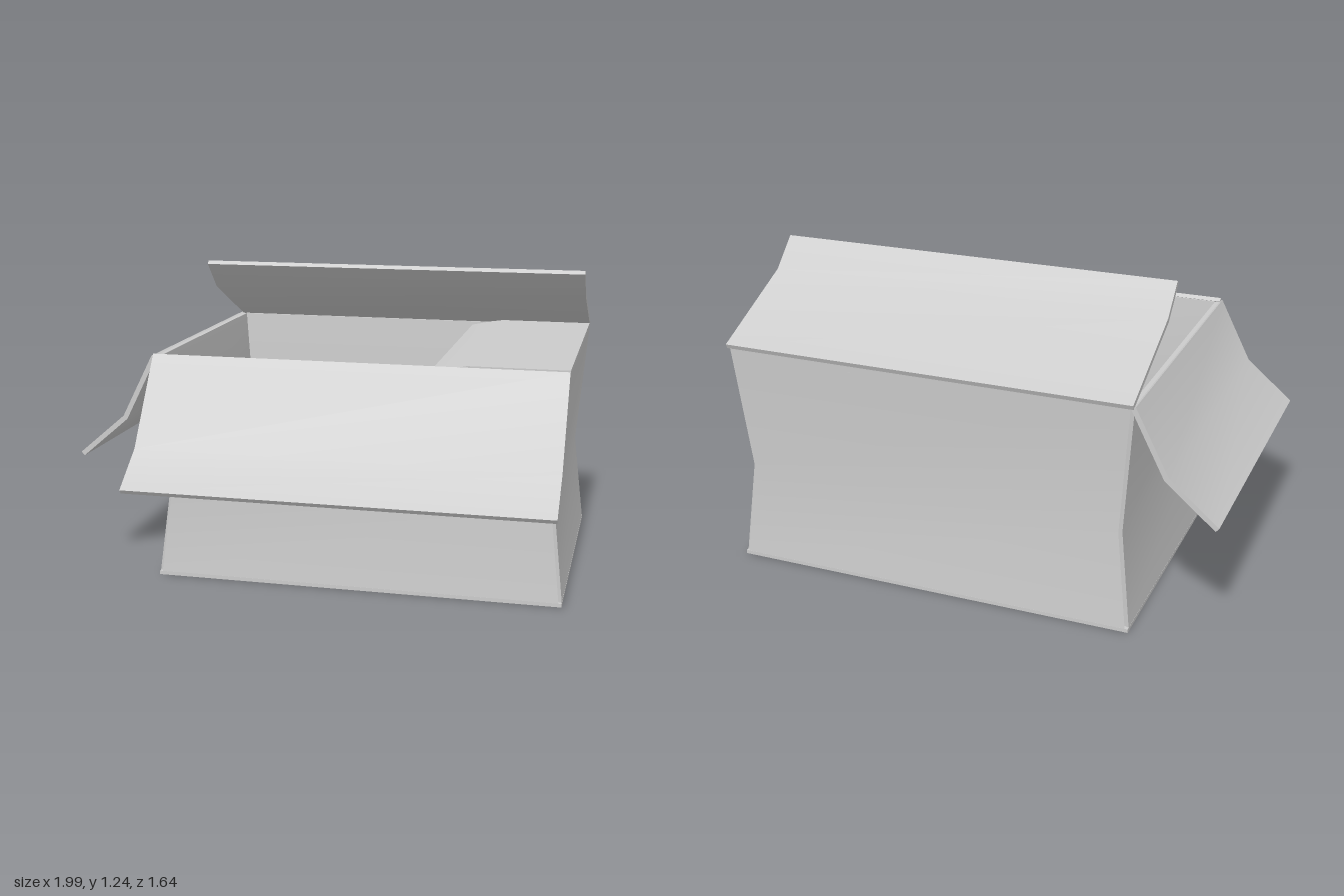
import * as THREE from 'three';
import { toCreasedNormals } from 'three/addons/utils/BufferGeometryUtils.js';

const X0 = -0.672, X1 = 0.994, Z0 = -0.805, Z1 = 0.42, TOP = 0.925, T = 0.02;
const material = new THREE.MeshStandardMaterial({ color: 0xcccccc });

function mesh(name, geometry) {
  const m = new THREE.Mesh(toCreasedNormals(geometry, 0.6), material);
  m.name = name;
  return m;
}

// Solid through a stack of four-cornered sections, closed at both ends
function loft(sections) {
  const pos = [];
  const quad = (a, b, c, d) => [a, b, c, a, c, d].forEach((p) => pos.push(...p));
  for (let i = 0; i < sections.length - 1; i++) {
    for (let j = 0; j < 4; j++) {
      const k = (j + 1) % 4, s = sections[i], e = sections[i + 1];
      quad(s[j], s[k], e[k], e[j]);
    }
  }
  const [a, b, c, d] = sections[0];
  quad(d, c, b, a);
  quad(...sections[sections.length - 1]);
  const g = new THREE.BufferGeometry();
  g.setAttribute('position', new THREE.Float32BufferAttribute(pos, 3));
  g.computeVertexNormals();
  return g;
}

// Bent sheet: a folded line given board thickness, extruded to a width
function bentSheet(line, width) {
  const pts = line.map((p) => new THREE.Vector2(...p));
  const normal = (a, b) => new THREE.Vector2(a.y - b.y, b.x - a.x).normalize();
  const offsets = pts.map((p, i) => {
    const n1 = normal(pts[Math.max(i - 1, 0)], pts[Math.max(i, 1)]);
    const last = pts.length - 1;
    const n2 = normal(pts[Math.min(i, last - 1)], pts[Math.min(i + 1, last)]);
    const n = n1.clone().add(n2).normalize();
    return n.multiplyScalar(T / 2 / n.dot(n1));
  });
  const upper = pts.map((p, i) => p.clone().add(offsets[i]));
  const lower = pts.map((p, i) => p.clone().sub(offsets[i])).reverse();
  return new THREE.ExtrudeGeometry(new THREE.Shape([...upper, ...lower]), {
    depth: width, bevelEnabled: false,
  });
}

export function createModel() {
  const box = new THREE.Group();
  box.name = 'openBox';

  // Floor
  const floor = new THREE.BoxGeometry(X1 - X0, 0.015, Z1 - Z0);
  floor.translate((X0 + X1) / 2, 0.0075, (Z0 + Z1) / 2);
  box.add(mesh('floor', floor));

  // Walls, pinched inward below mid height, with small notches at the corners
  const levels = [[0.01, 0, 0], [0.4, 0.045, 0.033], [TOP, 0, 0]];
  ['frontWall', 'leftWall', 'backWall', 'rightWall'].forEach((name, k) => {
    const sections = levels.map(([y, dx, dz]) => {
      const corner = (i, inset) => {
        const x = [X0 + dx + inset, X1 - dx - inset];
        const z = [Z1 - dz - inset, Z0 + dz + inset];
        const n = i % 4;
        return new THREE.Vector3(x[n === 1 || n === 2 ? 1 : 0], y, z[n < 2 ? 0 : 1]);
      };
      const a = corner(k, 0), b = corner(k + 1, 0);
      const along = b.clone().sub(a).normalize().multiplyScalar(0.012);
      return [a.add(along), b.sub(along), corner(k + 1, T), corner(k, T)].map((p) => p.toArray());
    });
    box.add(mesh(name, loft(sections)));
  });

  // Front and back flaps: folded in the z-y plane
  const longFlaps = {
    frontFlap: [[0.413, 0.932], [0.645, 0.592], [0.812, 0.468]],
    backFlap: [[-0.813, 0.928], [-0.4, 1.115], [-0.284, 1.228]],
  };
  for (const [name, line] of Object.entries(longFlaps)) {
    const g = bentSheet(line, X1 - X0);
    g.rotateY(-Math.PI / 2).translate(X1, 0, 0);
    box.add(mesh(name, g));
  }

  // Side flaps: right one hangs outside, left one lies across the opening
  const rightFlap = bentSheet([[-0.67, 0.925], [-0.8, 0.668], [-0.994, 0.503]], 1.23);
  box.add(mesh('rightFlap', rightFlap.translate(0, 0, -0.807)));
  const leftFlap = bentSheet([[X1, 0.93], [0.6, 0.93], [0.455, 0.9]], 1.205);
  box.add(mesh('leftFlap', leftFlap.translate(0, 0, -0.803)));

  return box;
}
